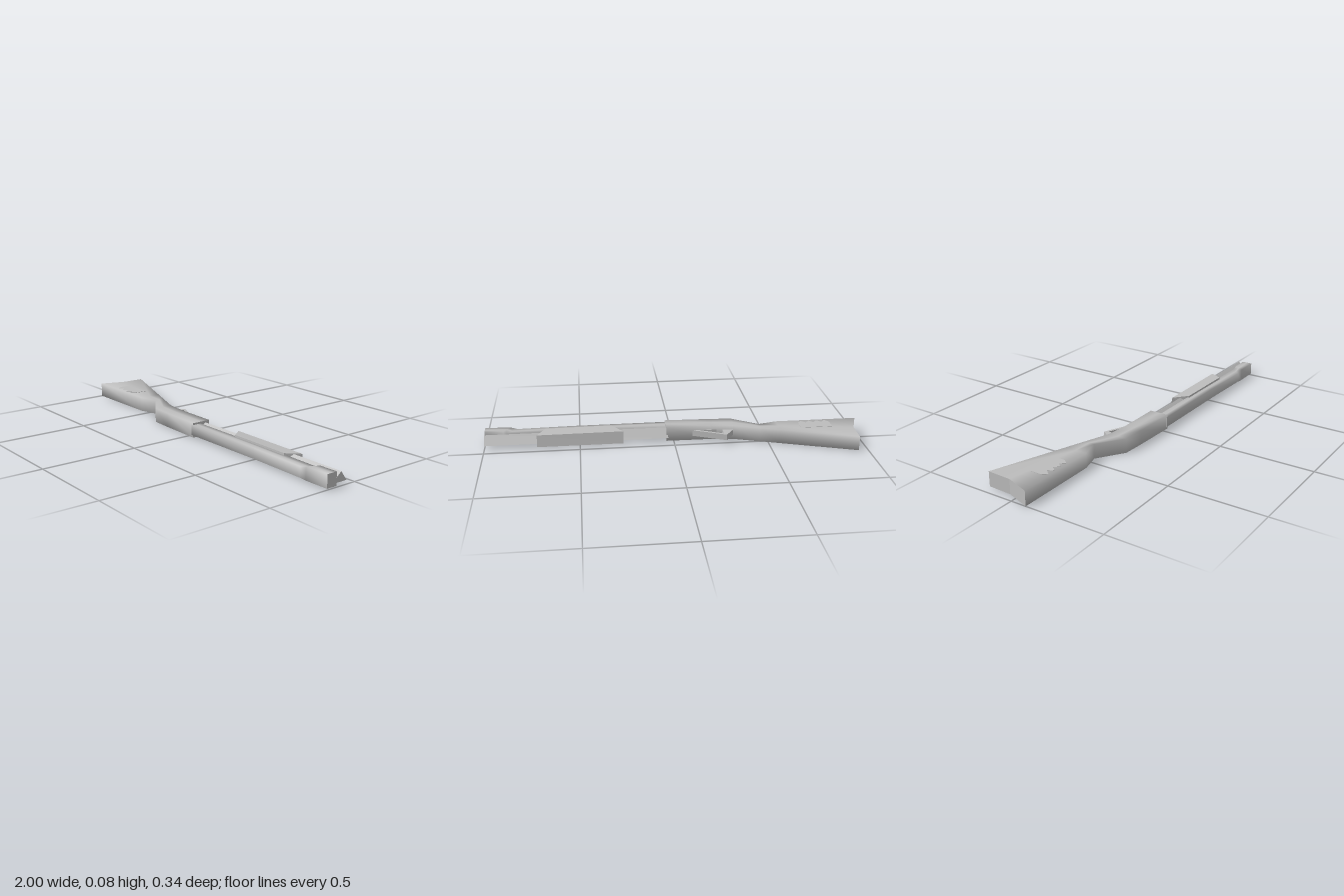
import * as THREE from 'three';
import { mergeGeometries } from 'three/addons/utils/BufferGeometryUtils.js';

// Skin a row of cross-sections running toward +x; each ring lists its lower
// points from +z to -z, then its upper points from -z back to +z.
function loft(rings, smooth = true) {
  const n = rings[0].length;
  const idx = [];
  for (let s = 0; s < rings.length - 1; s++) {
    for (let i = 0; i < n; i++) {
      const a = s * n + i, b = s * n + (i + 1) % n;
      idx.push(a, b, b + n, a, b + n, a + n);
    }
  }
  let sides = new THREE.BufferGeometry();
  sides.setAttribute('position', new THREE.Float32BufferAttribute(rings.flat(2), 3));
  sides.setIndex(idx);
  if (smooth) sides.computeVertexNormals();
  sides = sides.toNonIndexed();
  if (!smooth) sides.computeVertexNormals();

  // Flat end caps
  const pos = [];
  const cap = (r, flip) => {
    for (let i = 0; i < n / 2 - 1; i++) {
      const [a, b, c, d] = [r[i], r[i + 1], r[n - 2 - i], r[n - 1 - i]];
      for (const t of [[a, b, c], [a, c, d]]) {
        if (flip) t.reverse();
        pos.push(...t.flat());
      }
    }
  };
  cap(rings[0], true);
  cap(rings[rings.length - 1], false);
  const caps = new THREE.BufferGeometry();
  caps.setAttribute('position', new THREE.Float32BufferAttribute(pos, 3));
  caps.computeVertexNormals();
  return mergeGeometries([sides, caps]);
}

// Six-point section; x may be one value or [at high z, at middle, at low z]
function section(x, zLow, zHigh, y0, y1) {
  const xs = Array.isArray(x) ? x : [x, x, x];
  const zs = [zHigh, (zLow + zHigh) / 2, zLow];
  const low = zs.map((z, i) => [xs[i], y0, z]);
  const high = zs.map((z, i) => [xs[i], y1, z]).reverse();
  return [...low, ...high];
}

// Extrude an outline given as [x, z] upward from y0
function slab(points, y0, height, hole) {
  const toVec = ([x, z]) => new THREE.Vector2(x, -z);
  const shape = new THREE.Shape(points.map(toVec));
  if (hole) shape.holes.push(new THREE.Path(hole.map(toVec)));
  const geo = new THREE.ExtrudeGeometry(shape, { depth: height, bevelEnabled: false });
  geo.rotateX(-Math.PI / 2);
  geo.translate(0, y0, 0);
  return geo;
}

export function createModel() {
  const group = new THREE.Group();
  const grey = new THREE.MeshStandardMaterial({ color: 0xbcbcbc });
  grey.name = 'plainGrey';
  const add = (name, geo) => {
    const mesh = new THREE.Mesh(geo, grey);
    mesh.name = name;
    group.add(mesh);
  };

  // Butt, wrist and receiver in one smooth body
  add('stockAndReceiver', loft([
    section([-1, -0.955, -0.95], -0.172, 0.083, 0, 0.077),
    section(-0.56, -0.036, 0.083, 0, 0.077),
    section(-0.46, -0.001, 0.056, 0, 0.077),
    section(-0.32, 0.048, 0.15, 0, 0.077),
    section(-0.2, 0.06, 0.157, 0, 0.077),
    section(0.04, 0.062, 0.165, 0, 0.077),
  ]));

  // Barrel with a shallow waist and a wider muzzle
  add('barrel', loft([
    section(0.03, 0.115, 0.167, 0.012, 0.067),
    section([0.52, 0.48, 0.45], 0.115, 0.168, 0.012, 0.066),
    section([0.83, 0.855, 0.885], 0.115, 0.17, 0.008, 0.061),
    section([0.87, 0.885, 0.9], 0.115, 0.172, 0.006, 0.072),
    section(1, 0.115, 0.172, 0.006, 0.073),
  ]));

  // Tube under the barrel, with a peaked section
  add('magazineTube', loft([0.03, 1].map((x) => [
    [x, 0.02, 0.116], [x, 0.02, 0.053], [x, 0.068, 0.087], [x, 0.045, 0.116],
  ]), false));

  // Sliding grip, longer on its outer side
  add('foreGrip', loft([
    [[0.33, 0.004, 0.126], [0.27, 0.006, 0.042], [0.27, 0.07, 0.054], [0.33, 0.077, 0.126]],
    [[0.68, 0.004, 0.126], [0.725, 0.006, 0.042], [0.725, 0.068, 0.054], [0.68, 0.074, 0.126]],
  ], false));

  // Trigger guard with its opening
  add('triggerGuard', slab(
    [[-0.33, 0.062], [-0.275, -0.018], [-0.1, 0.062]], 0.023, 0.032,
    [[-0.262, 0.002], [-0.262, 0.057], [-0.142, 0.057]],
  ));

  // Thin stock panel with a toothed edge
  const teeth = [];
  for (let i = 0; i <= 8; i++) {
    teeth.push([-0.845 + i * 0.0215, i % 2 ? 0.07 : 0.045]);
  }
  add('stockPanel', slab(
    [[-0.845, -0.02], ...teeth, [-0.673, -0.02]], 0.074, 0.0045,
  ));

  return group;
}
